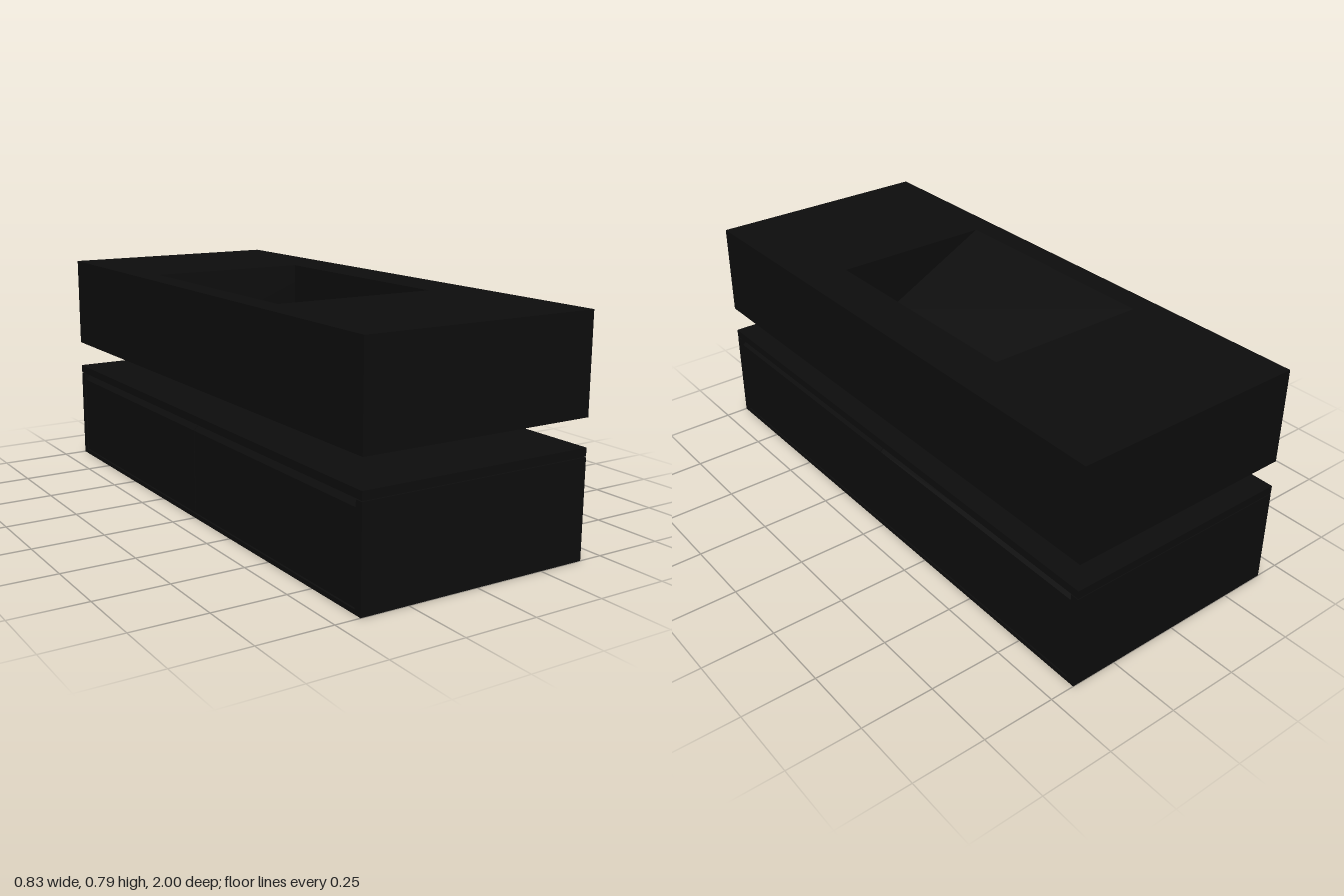
import * as THREE from 'three';

const HALF_W = 0.415, HALF_L = 1;
const material = new THREE.MeshStandardMaterial({ color: 0x0d0d0d });

function addMesh(parent, name, geometry, x = 0, y = 0, z = 0) {
  const mesh = new THREE.Mesh(geometry, material);
  mesh.name = name;
  mesh.position.set(x, y, z);
  parent.add(mesh);
  return mesh;
}

// Box given by its limits on each axis
function addBox(parent, name, [x0, x1], [y0, y1], [z0, z1]) {
  return addMesh(parent, name, new THREE.BoxGeometry(x1 - x0, y1 - y0, z1 - z0),
    (x0 + x1) / 2, (y0 + y1) / 2, (z0 + z1) / 2);
}

// Cross-section in x and y, run along z
function addPrism(parent, name, points, z0, z1) {
  const shape = new THREE.Shape(points.map(([x, y]) => new THREE.Vector2(x, y)));
  const geometry = new THREE.ExtrudeGeometry(shape, { depth: z1 - z0, bevelEnabled: false });
  return addMesh(parent, name, geometry, 0, 0, z0);
}

// Thick washbasin slab with a ramped bowl and a slot drain
function createBasin() {
  const basin = new THREE.Group();
  basin.name = 'basin';
  const bottom = 0.46, top = 0.79, floor = 0.58, bowlEnd = 0.42;
  addPrism(basin, 'basinBowl', [
    [-HALF_W, bottom], [HALF_W, bottom], [HALF_W, top],
    [0.25, top], [0.25, floor], [0.09, floor],
    [0.09, floor - 0.03], [0.075, floor - 0.03], [0.075, floor],
    [-0.33, top], [-HALF_W, top],
  ], -bowlEnd, bowlEnd);
  for (const s of [-1, 1]) {
    const z = s < 0 ? [-HALF_L, -bowlEnd] : [bowlEnd, HALF_L];
    addBox(basin, 'basinEnd', [-HALF_W, HALF_W], [bottom, top], z);
  }
  return basin;
}

// Low cabinet: top, bottom, end panels and drawer fronts on both long sides
function createCabinet() {
  const cabinet = new THREE.Group();
  cabinet.name = 'cabinet';
  const width = [-HALF_W, HALF_W], inner = 0.97;
  addBox(cabinet, 'cabinetTop', width, [0.337, 0.365], [-HALF_L, HALF_L]);
  addBox(cabinet, 'cabinetBottom', width, [0, 0.015], [-HALF_L, HALF_L]);
  for (const s of [-1, 1]) {
    const z = s < 0 ? [-HALF_L, -inner] : [inner, HALF_L];
    addBox(cabinet, 'endPanel', width, [0.015, 0.334], z);
  }

  // Fronts with a bevelled top edge as a finger pull
  const profile = [[0.385, 0.018], [0.412, 0.018], [0.412, 0.31], [0.39, 0.333], [0.385, 0.333]];
  for (const turn of [0, Math.PI]) {
    const side = new THREE.Group();
    side.name = 'drawerFronts';
    addPrism(side, 'drawerFront', profile, -inner + 0.003, -0.002);
    addPrism(side, 'drawerFront', profile, 0.002, inner - 0.003);
    side.rotation.y = turn;
    cabinet.add(side);
  }
  return cabinet;
}

export function createModel() {
  const model = new THREE.Group();
  model.name = 'washbasinUnit';
  model.add(createBasin(), createCabinet());
  return model;
}
